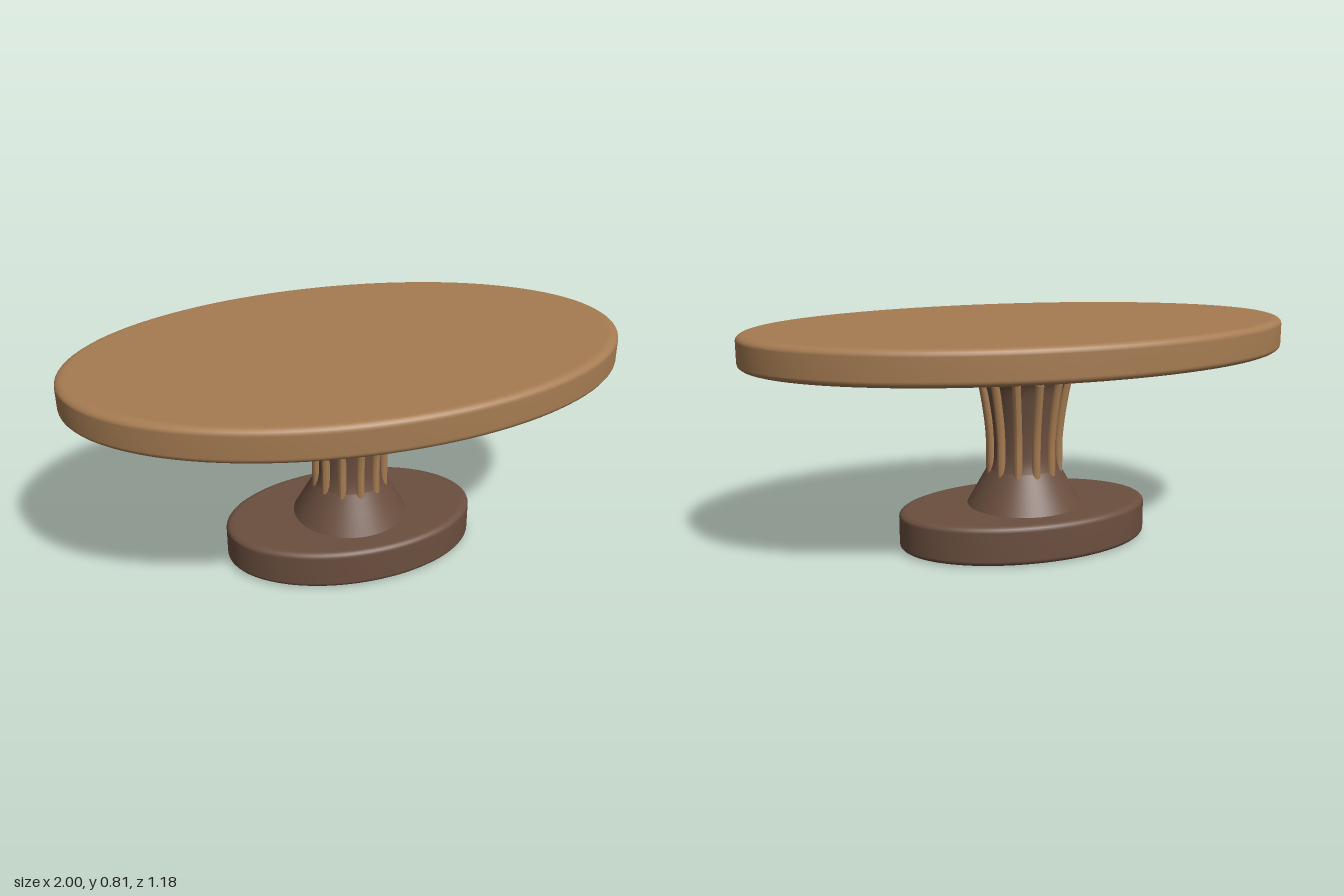
import * as THREE from 'three';

const lightWood = new THREE.MeshStandardMaterial({ color: 0xa67c52 });
lightWood.name = 'lightWood';
const darkWood = new THREE.MeshStandardMaterial({ color: 0x6b4f3f });
darkWood.name = 'darkWood';

function addMesh(parent, name, geometry, material) {
  const mesh = new THREE.Mesh(geometry, material);
  mesh.name = name;
  parent.add(mesh);
  return mesh;
}

// Elliptical slab with rounded rims, from y0 to y1
function ovalSlab(rx, rz, y0, y1, bevel) {
  const points = [new THREE.Vector2(0, y0), new THREE.Vector2(rz - bevel - 0.004, y0)];
  const corner = (cy, start) => {
    for (let i = 0; i <= 5; i++) {
      const a = start + (i / 5) * Math.PI / 2;
      points.push(new THREE.Vector2(rz - bevel + bevel * Math.cos(a), cy + bevel * Math.sin(a)));
    }
  };
  corner(y0 + bevel, -Math.PI / 2);
  corner(y1 - bevel, 0);
  points.push(new THREE.Vector2(rz - bevel - 0.004, y1), new THREE.Vector2(0, y1));
  return new THREE.LatheGeometry(points, 96).scale(rx / rz, 1, 1);
}

// Pedestal: straight cone below, slim waist, flared neck above
function columnGeometry() {
  const waist = new THREE.SplineCurve([
    [0.134, 0.275], [0.123, 0.32], [0.122, 0.4], [0.132, 0.5],
    [0.155, 0.6], [0.203, 0.648], [0.262, 0.692],
  ].map(([r, y]) => new THREE.Vector2(r, y)));
  const cone = [[0.211, 0.138], [0.172, 0.208]].map(([r, y]) => new THREE.Vector2(r, y));
  return new THREE.LatheGeometry([...cone, ...waist.getPoints(30)], 64);
}

// Round rib that leans outward above the waist
function ribGeometry() {
  const bottom = 0.262, top = 0.605, radius = 0.016;
  const geometry = new THREE.CylinderGeometry(radius, radius, top - bottom, 12, 14);
  geometry.translate(0, (top + bottom) / 2, 0);
  const pos = geometry.attributes.position;
  for (let i = 0; i < pos.count; i++) {
    const t = Math.max(0, (pos.getY(i) - 0.37) / (top - 0.37));
    pos.setZ(i, pos.getZ(i) + 0.126 + 0.033 * Math.pow(t, 1.5));
  }
  geometry.computeVertexNormals();
  return geometry;
}

export function createModel() {
  const table = new THREE.Group();
  table.name = 'ovalPedestalTable';

  addMesh(table, 'tabletop', ovalSlab(1, 0.589, 0.688, 0.808, 0.022), lightWood);
  addMesh(table, 'base', ovalSlab(0.468, 0.298, 0, 0.142, 0.02), darkWood);
  addMesh(table, 'column', columnGeometry(), darkWood);

  // Twelve ribs around the column
  const ribs = new THREE.Group();
  ribs.name = 'columnRibs';
  const rib = ribGeometry();
  for (let i = 0; i < 12; i++) {
    addMesh(ribs, 'rib', rib, lightWood).rotation.y = (i * Math.PI) / 6;
  }
  table.add(ribs);

  return table;
}
